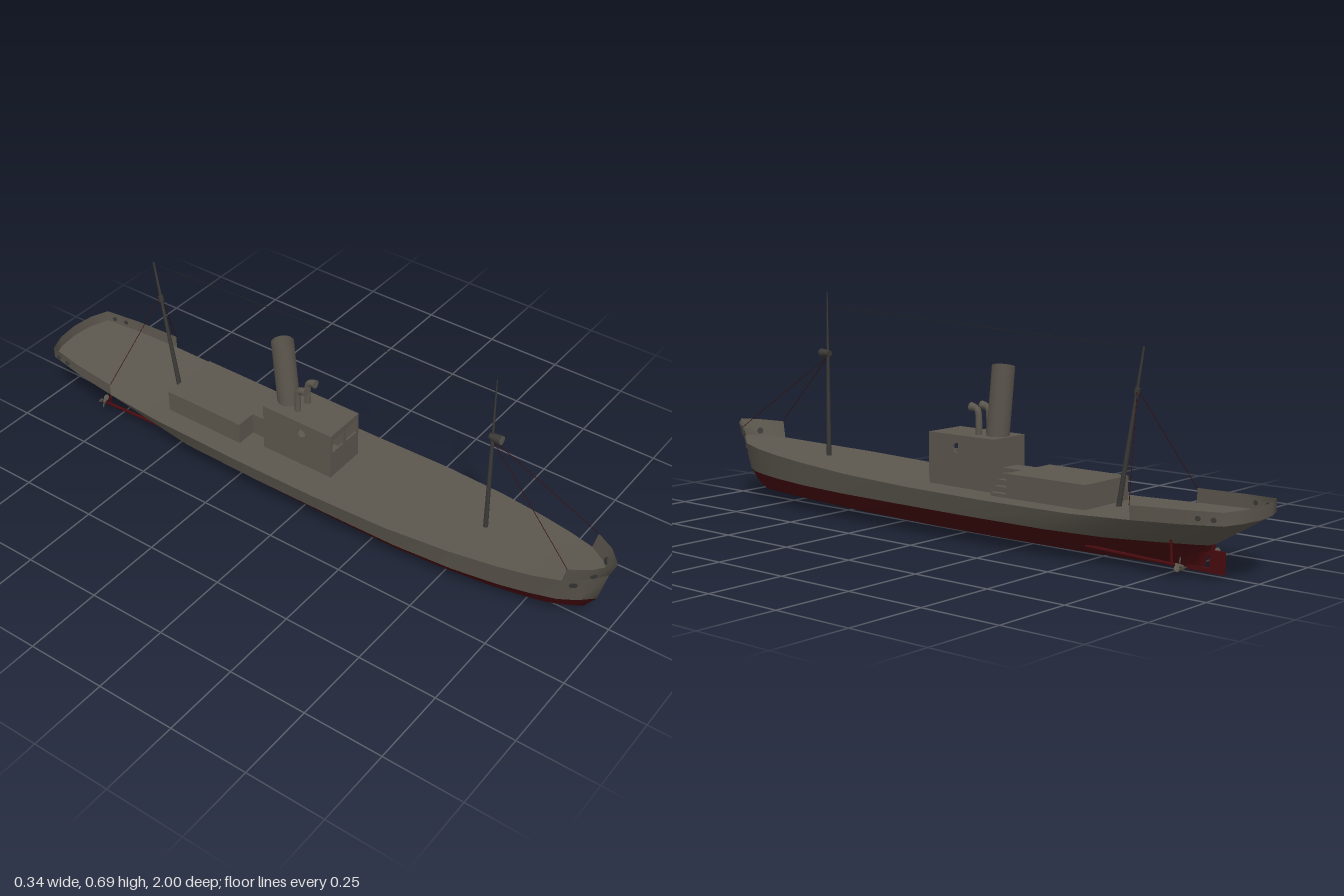
import * as THREE from 'three';

const mat = (name, color, side = THREE.FrontSide) => {
  const m = new THREE.MeshStandardMaterial({ color, side });
  m.name = name;
  return m;
};

// Stations from stern to bow: deck z, half width, deck height, waterline and chine width factors
const STATIONS = [
  [-1, 0, 0.171, 0.2, 0.1], [-0.992, 0.07, 0.171, 0.2, 0.1], [-0.97, 0.128, 0.17, 0.22, 0.12],
  [-0.85, 0.147, 0.163, 0.5, 0.3], [-0.7, 0.16, 0.156, 0.76, 0.5], [-0.5, 0.167, 0.148, 0.88, 0.62],
  [-0.2, 0.171, 0.147, 0.9, 0.67], [0.1, 0.171, 0.15, 0.9, 0.68], [0.35, 0.168, 0.158, 0.9, 0.68],
  [0.55, 0.152, 0.167, 0.9, 0.66], [0.7, 0.13, 0.174, 0.88, 0.64], [0.8, 0.109, 0.18, 0.84, 0.6],
  [0.88, 0.085, 0.187, 0.8, 0.55], [0.935, 0.047, 0.192, 0.8, 0.5], [0.978, 0, 0.196, 0.8, 0.5],
];

export function createModel() {
  const grey = mat('ship grey', 0x5c574e, THREE.DoubleSide);
  const red = mat('bottom red', 0x480b0f, THREE.DoubleSide);
  const dark = mat('mast grey', 0x3b3a37);
  const black = mat('wire black', 0x242424);
  const stayRed = mat('rigging red', 0x3a0e0e);
  const model = new THREE.Group();
  const V = (x, y, z) => new THREE.Vector3(x, y, z);
  const add = (name, geo, material, x = 0, y = 0, z = 0, parent = model) => {
    const m = new THREE.Mesh(geo, material);
    m.name = name;
    m.position.set(x, y, z);
    parent.add(m);
    return m;
  };
  const box = (name, material, w, h, d, x, y, z) =>
    add(name, new THREE.BoxGeometry(w, h, d), material, x, y, z);
  // Tapered round bar between two points
  const rod = (name, material, a, b, r0, r1 = r0, sides = 8, open = false) => {
    const d = b.clone().sub(a);
    const m = add(name, new THREE.CylinderGeometry(r1, r0, d.length(), sides, 1, open), material);
    m.position.copy(a).add(b).multiplyScalar(0.5);
    m.quaternion.setFromUnitVectors(V(0, 1, 0), d.normalize());
    return m;
  };
  // Surface strip between two rows of points
  const band = (name, material, A, B) => {
    const pos = [], idx = [];
    A.forEach((a, i) => {
      pos.push(...a.toArray(), ...B[i].toArray());
      if (i) {
        const k = 2 * i;
        idx.push(k - 2, k - 1, k, k - 1, k + 1, k);
      }
    });
    const g = new THREE.BufferGeometry();
    g.setAttribute('position', new THREE.Float32BufferAttribute(pos, 3));
    g.setIndex(idx);
    g.computeVertexNormals();
    return add(name, g, material);
  };
  const flip = (row) => row.map((p) => V(-p.x, p.y, p.z));
  const ring = (row) => [...row, ...flip(row).reverse().slice(1)];

  // Hull rows
  const row = (z0, z1, width, height) => STATIONS.map((s) => {
    const u = (s[0] + 1) / 1.978;
    return V(s[1] * width(s), height(u), z0 + (z1 - z0) * u);
  });
  const deck = STATIONS.map((s) => V(s[1], s[2], s[0]));
  const water = row(-0.86, 0.952, (s) => s[3], (u) => 0.086 + 0.009 * u);
  const chine = row(-0.845, 0.915, (s) => s[4], (u) => 0.045 + 0.02 * (1 - u) ** 6);
  const keel = row(-0.83, 0.875, () => 0, (u) => 0.002 + 0.09 * Math.abs(u - 0.45) ** 2.3);
  band('hullBottom', red, ring(keel), ring(chine));
  band('hullBilge', red, ring(chine), ring(water));
  band('hullSides', grey, ring(water), ring(deck));
  band('deck', grey, deck, flip(deck));

  // Bow and stern bulwarks
  const bowBase = deck.slice(-3);
  const bowTop = [V(0.09, 0.239, 0.893), V(0.053, 0.244, 0.954), V(0, 0.249, 1)];
  band('bowBulwark', grey, ring(bowBase), ring(bowTop));
  const sternBase = deck.slice(0, 5);
  const sternTop = sternBase.map((p) => V(p.x * 1.01, 0.207 + (p.z + 1) * -0.035, p.z));
  const sternLoop = (r) => [...flip(r).reverse(), ...r.slice(1)];
  band('sternBulwark', grey, sternLoop(sternBase), sternLoop(sternTop));

  // Mooring holes and anchor pockets
  const port = (name, p, n, r) => rod(name, dark, p.clone().addScaledVector(n, -0.004),
    p.clone().addScaledVector(n, 0.004), r, r, 14);
  for (const s of [1, -1]) {
    port('bowFairlead', V(s * 0.037, 0.208, 0.95), V(s * 0.66, -0.25, 0.7).normalize(), 0.01);
    port('anchorPocket', V(s * 0.06, 0.166, 0.904), V(s * 0.78, -0.3, 0.55).normalize(), 0.012);
    for (const [x, z] of [[0.141, -0.9], [0.134, -0.943]])
      port('sternFairlead', V(s * x, 0.184, z), V(s, 0, -0.16).normalize(), 0.007);
  }

  // Wheelhouse walls with window openings
  const T = 0.006;
  const wall = (x0, x1, y0, y1, holes) => {
    const rect = (C, a, b, c, d) => new C([[a, c], [b, c], [b, d], [a, d]].map((p) => new THREE.Vector2(...p)));
    const shape = rect(THREE.Shape, x0, x1, y0, y1);
    shape.holes = holes(rect);
    return new THREE.ExtrudeGeometry(shape, { depth: T, bevelEnabled: false, curveSegments: 10 });
  };
  add('wheelhouseFront', wall(-0.07, 0.07, 0.135, 0.3, (rect) => [
    rect(THREE.Path, -0.06, -0.006, 0.238, 0.284), rect(THREE.Path, 0.006, 0.06, 0.238, 0.284),
  ]), grey, 0, 0, 0.09 - T);
  for (const x of [0.07, -0.07 + T]) {
    const side = add('wheelhouseSide', wall(-0.16, 0.09 - T, 0.135, 0.3, () => [
      new THREE.Path().absarc(-0.018, 0.265, 0.014, 0, Math.PI * 2, true),
    ]), grey, x);
    side.rotation.y = -Math.PI / 2;
  }
  box('wheelhouseBack', grey, 0.128, 0.165, T, 0, 0.2175, -0.16 + T / 2);
  box('wheelhouseRoof', grey, 0.14, T, 0.25, 0, 0.3, -0.035);

  // Aft cabin, passage and steps
  box('aftCabin', grey, 0.2, 0.085, 0.28, 0, 0.175, -0.37);
  box('passage', grey, 0.065, 0.085, 0.075, -0.002, 0.175, -0.195);
  for (let i = 0; i < 4; i++) {
    const top = 0.205 - i * 0.016;
    box('step', grey, 0.0175, top - 0.135, 0.055, 0.039 + i * 0.0175, (top + 0.135) / 2, -0.2);
  }

  // Open funnel
  rod('funnel', grey, V(0, 0.285, -0.115), V(0, 0.508, -0.137), 0.034, 0.034, 24, true);
  rod('funnelInside', black, V(0, 0.46, -0.132), V(0, 0.462, -0.1322), 0.033, 0.033, 24);

  // Cowl ventilators
  for (const s of [1, -1]) {
    const path = new THREE.CatmullRomCurve3([V(0, 0.295, -0.064), V(0, 0.35, -0.064),
      V(0, 0.374, -0.06), V(0, 0.383, -0.047)]);
    add('ventPipe', new THREE.TubeGeometry(path, 14, 0.01, 10), grey, s * 0.024);
    rod('ventCowl', grey, V(s * 0.024, 0.381, -0.054), V(s * 0.024, 0.383, -0.034), 0.01, 0.0135, 12);
  }

  // Masts, searchlight and rigging
  rod('foremast', dark, V(0, 0.16, 0.585), V(0, 0.5, 0.585), 0.0075, 0.005);
  rod('foremastTop', dark, V(0, 0.5, 0.585), V(0, 0.688, 0.585), 0.004, 0.0015);
  rod('searchlight', dark, V(0, 0.495, 0.577), V(0, 0.495, 0.614), 0.01, 0.014, 14);
  rod('searchlightLens', grey, V(0, 0.495, 0.614), V(0, 0.495, 0.616), 0.0125, 0.0125, 14);
  rod('aftMast', dark, V(0, 0.145, -0.55), V(0, 0.595, -0.627), 0.008, 0.003);
  rod('aftMastCollar', dark, V(0, 0.466, -0.605), V(0, 0.482, -0.608), 0.008, 0.008);
  rod('aerial', black, V(0, 0.645, 0.585), V(0, 0.59, -0.626), 0.001, 0.001, 5);
  for (const s of [1, -1]) {
    rod('foreStay', stayRed, V(0, 0.487, 0.583), V(s * 0.089, 0.239, 0.895), 0.001, 0.001, 5);
    rod('aftStay', stayRed, V(0, 0.482, -0.607), V(s * 0.161, 0.196, -0.699), 0.001, 0.001, 5);
  }

  // Rudder, shafts and propellers
  box('rudder', red, 0.01, 0.062, 0.045, 0, 0.04, -0.872);
  rod('rudderStock', red, V(0, 0.06, -0.855), V(0, 0.125, -0.862), 0.006);
  box('skeg', red, 0.01, 0.012, 0.09, 0, 0.016, -0.825);
  for (const s of [1, -1]) {
    rod('shaft', red, V(s * 0.08, 0.045, -0.5), V(s * 0.086, 0.037, -0.805), 0.005);
    rod('shaftStrut', red, V(s * 0.086, 0.038, -0.785), V(s * 0.075, 0.1, -0.775), 0.004);
    const prop = new THREE.Group();
    prop.name = 'propeller';
    prop.position.set(s * 0.086, 0.037, -0.81);
    model.add(prop);
    const hub = add('hub', new THREE.CylinderGeometry(0.006, 0.004, 0.022, 10), grey, 0, 0, 0, prop);
    hub.rotation.x = Math.PI / 2;
    for (let i = 0; i < 3; i++) {
      const a = s * (-0.4 + i * Math.PI * 2 / 3);
      const blade = add('blade', new THREE.SphereGeometry(1, 12, 8), grey,
        Math.cos(a) * 0.014, Math.sin(a) * 0.014, 0, prop);
      blade.scale.set(0.011, 0.009, 0.002);
      blade.rotation.set(0.5 * s, 0, a, 'ZYX');
    }
  }
  return model;
}
